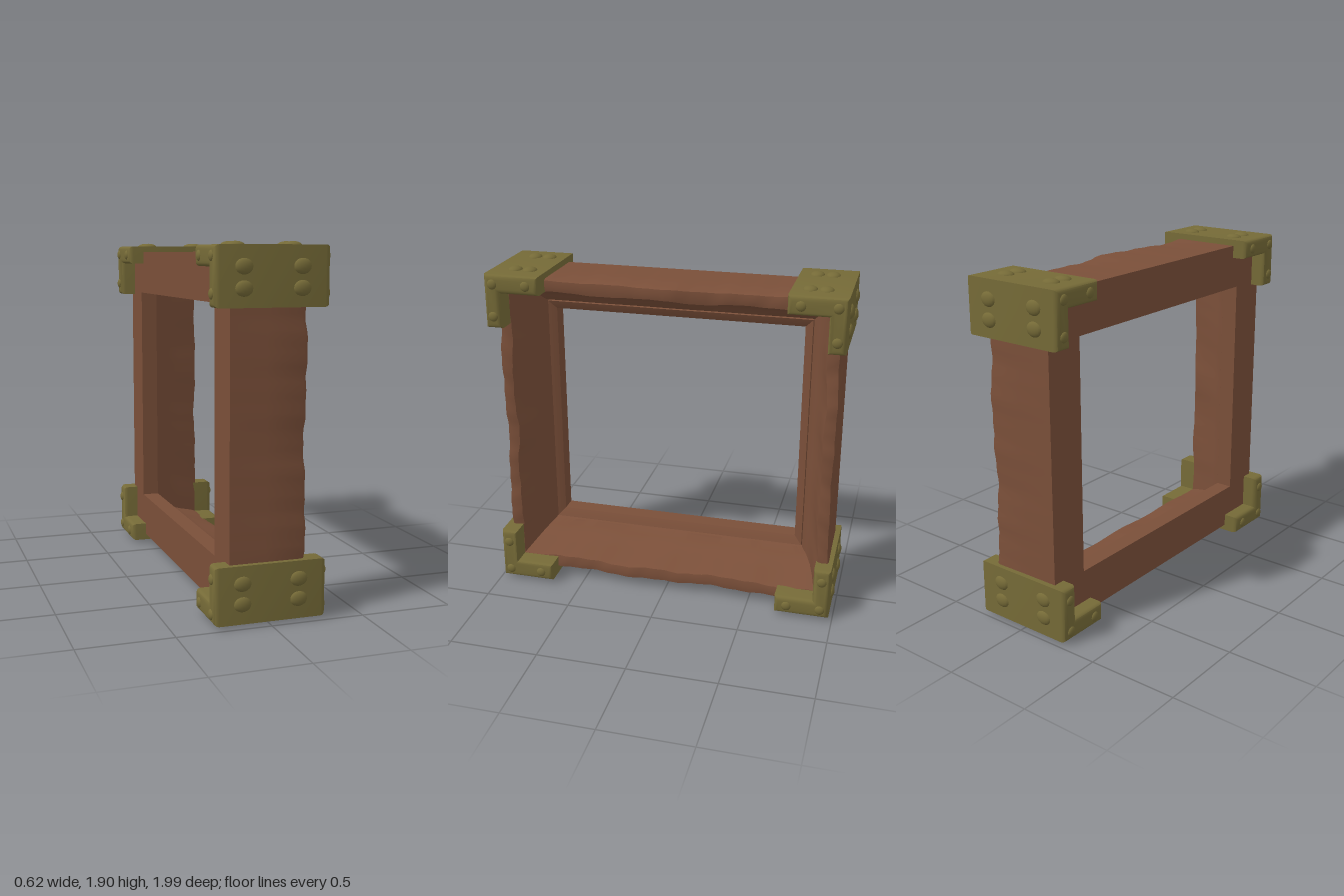
import * as THREE from 'three';
import { toCreasedNormals } from 'three/addons/utils/BufferGeometryUtils.js';

const CENTER_Y = 0.9525;
const INNER = { z: 0.72, y: 0.6475 }; // half size of the opening
const WIDTH = { z: 0.23, y: 0.25 };   // width of the moulding

// Moulding cross-section: [0 = opening .. 1 = outer edge, x]
const PROFILE = [
  [0, -0.21], [0, -0.115], [0.1, -0.1], [0.19, -0.09], [0.205, -0.105], [0.225, -0.085],
  [0.36, -0.055], [0.48, -0.005], [0.58, 0.07], [0.66, 0.15], [0.71, 0.185],
  [0.84, 0.192], [0.97, 0.188], [1, 0.17], [1, -0.02], [1, -0.21], [0, -0.21],
];

// One mitred bar; axis and sign give its outward direction
function barGeometry(axis, sign, seed) {
  const along = axis === 'z' ? 'y' : 'z';
  const dir = axis === 'z' ? -sign : sign;
  const steps = 48, n = PROFILE.length;
  const pos = [], index = [];
  for (let j = 0; j <= steps; j++) {
    const t = (j / steps) * 2 - 1;
    const fade = Math.min(1, (1 - Math.abs(t)) * 5);
    const rough = 0.5 * Math.sin(t * 7 + seed) + 0.3 * Math.sin(t * 17 + seed * 2.3)
      + 0.2 * Math.sin(t * 41 + seed * 4.1);
    const bulge = axis === 'y' && sign > 0 ? 0.03 * Math.exp(-t * t * 25) : 0;
    PROFILE.forEach(([d, x], i) => {
      // worn wood: strongest on the raised rim, none on the flat back
      const wear = fade * THREE.MathUtils.clamp((x + 0.1) / 0.28, 0, 1);
      const ripple = 0.02 * wear * Math.sin(t * 11 + seed * 3 + i * 0.4);
      const dd = d + wear * (0.03 * rough) + (d < 0.75 ? ripple : 0);
      const p = { x: x + wear * (0.01 * rough + bulge) };
      p[axis] = sign * (INNER[axis] + dd * WIDTH[axis]);
      p[along] = dir * t * (INNER[along] + d * WIDTH[along]);
      pos.push(p.x, p.y, p.z);
      if (j < steps && i < n - 1) {
        const a = j * n + i, b = a + 1, c = a + n;
        index.push(a, b, c, b, c + 1, c);
      }
    });
  }
  const g = new THREE.BufferGeometry();
  g.setAttribute('position', new THREE.Float32BufferAttribute(pos, 3));
  g.setIndex(index);
  return toCreasedNormals(g, 0.6);
}

// L-shaped corner clamp, bevelled, extruded along x
function clampGeometry() {
  const b = 0.028;
  const shape = new THREE.Shape([
    [0.67 + b, 0.9325 - b], [0.67 + b, 0.8275 + b], [0.885 + b, 0.8275 + b],
    [0.885 + b, 0.6325 + b], [0.98 - b, 0.6325 + b], [0.98 - b, 0.9325 - b],
  ].map(([z, y]) => new THREE.Vector2(-z, y)));
  const g = new THREE.ExtrudeGeometry(shape, {
    depth: 0.6 - 2 * b, bevelEnabled: true, bevelSize: b, bevelThickness: b, bevelSegments: 4,
  });
  g.translate(0, 0, -0.3 + b);
  g.rotateY(Math.PI / 2);
  return toCreasedNormals(g, 0.9);
}

export function createModel() {
  const model = new THREE.Group();
  model.name = 'pictureFrame';
  const wood = new THREE.MeshStandardMaterial({ color: 0x7a4f39 });
  wood.name = 'brown wood';
  const brass = new THREE.MeshStandardMaterial({ color: 0x756a37 });
  brass.name = 'old brass';

  const add = (parent, name, geometry, material) => {
    const mesh = new THREE.Mesh(geometry, material);
    mesh.name = name;
    parent.add(mesh);
    return mesh;
  };

  const frame = new THREE.Group();
  frame.name = 'frame';
  frame.position.y = CENTER_Y;
  model.add(frame);

  // Four wooden bars
  [['topBar', 'y', 1], ['bottomBar', 'y', -1], ['frontPost', 'z', 1], ['backPost', 'z', -1]]
    .forEach(([name, axis, sign], k) => add(frame, name, barGeometry(axis, sign, 1 + k * 1.7), wood));

  // Four clamps with rivets, turned into each corner
  const clampGeo = clampGeometry();
  const rivetGeo = new THREE.SphereGeometry(1, 16, 10);
  const corners = [
    ['topFront', 0, 0, 0], ['topBack', 0, Math.PI, 0],
    ['bottomBack', Math.PI, 0, 0], ['bottomFront', 0, 0, Math.PI],
  ];
  for (const [name, rx, ry, rz] of corners) {
    const corner = new THREE.Group();
    corner.name = name + 'Corner';
    corner.rotation.set(rx, ry, rz);
    frame.add(corner);
    add(corner, 'clamp', clampGeo, brass);
    const rivet = (x, y, z, sx, sy, sz) => {
      const r = add(corner, 'rivet', rivetGeo, brass);
      r.position.set(x, y, z);
      r.scale.set(sx, sy, sz);
    };
    for (const s of [-1, 1]) {
      for (const y of [0.83, 0.725]) rivet(s * 0.15, y, 0.975, 0.048, 0.04, 0.022);
      for (const z of [0.85, 0.765]) rivet(s * 0.15, 0.928, z, 0.048, 0.022, 0.04);
      for (const [y, z] of [[0.88, 0.93], [0.7, 0.933], [0.88, 0.74]])
        rivet(s * 0.297, y, z, 0.015, 0.028, 0.028);
    }
  }
  return model;
}
